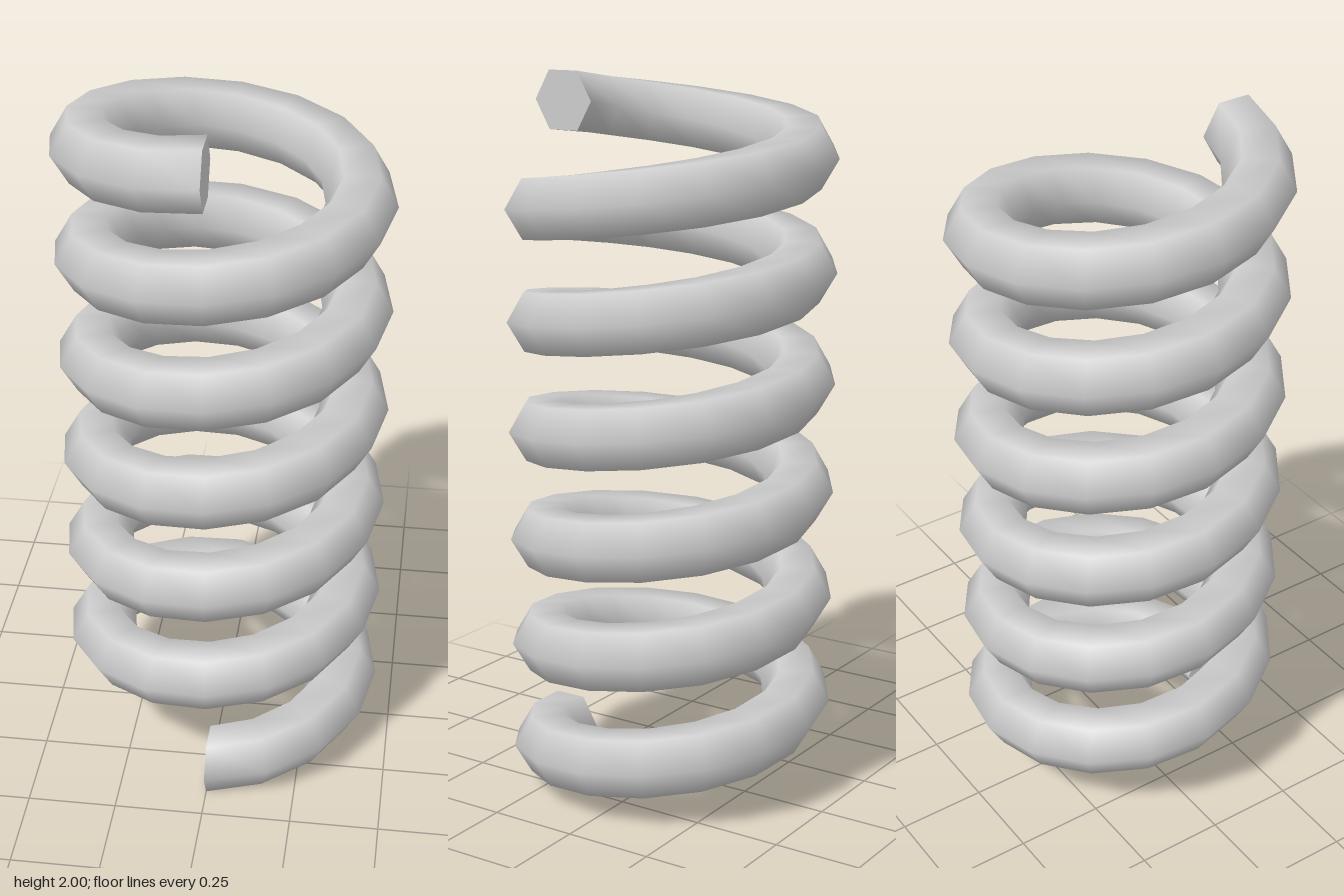
import * as THREE from 'three';

const TURNS = 6, STEPS = 16, SIDES = 6;
const COIL_R = 0.36, WIRE_R = 0.095;
const HALF = WIRE_R * Math.sin(Math.PI / 3); // half height of the hexagonal wire
const Y0 = HALF, Y1 = 2 - HALF;

// Hexagonal sections in upright radial planes, swept along a helix
function coilGeometry() {
  const pos = [], index = [], n = TURNS * STEPS;
  for (let i = 0; i <= n; i++) {
    const a = (i / STEPS) * Math.PI * 2;
    const h = THREE.MathUtils.lerp(Y0, Y1, i / n);
    for (let j = 0; j < SIDES; j++) {
      const b = (j / SIDES) * Math.PI * 2;
      const r = COIL_R + WIRE_R * Math.cos(b);
      pos.push(r * Math.sin(a), h + WIRE_R * Math.sin(b), r * Math.cos(a));
      if (i < n) {
        const k = (j + 1) % SIDES;
        const p = i * SIDES + j, q = i * SIDES + k;
        index.push(p, p + SIDES, q, q, p + SIDES, q + SIDES);
      }
    }
  }
  const g = new THREE.BufferGeometry();
  g.setAttribute('position', new THREE.Float32BufferAttribute(pos, 3));
  g.setIndex(index);
  g.computeVertexNormals();
  return g;
}

export function createModel() {
  const group = new THREE.Group();
  group.name = 'coilSpring';
  const material = new THREE.MeshStandardMaterial({ color: 0xcccccc });

  const coil = new THREE.Mesh(coilGeometry(), material);
  coil.name = 'coil';
  group.add(coil);

  // Flat caps on the two cut ends of the wire
  for (const [name, y, turn] of [['bottomEndCap', Y0, -1], ['topEndCap', Y1, 1]]) {
    const cap = new THREE.Mesh(new THREE.CircleGeometry(WIRE_R, SIDES), material);
    cap.name = name;
    cap.rotation.y = turn * Math.PI / 2;
    cap.position.set(0, y, COIL_R);
    group.add(cap);
  }
  return group;
}
